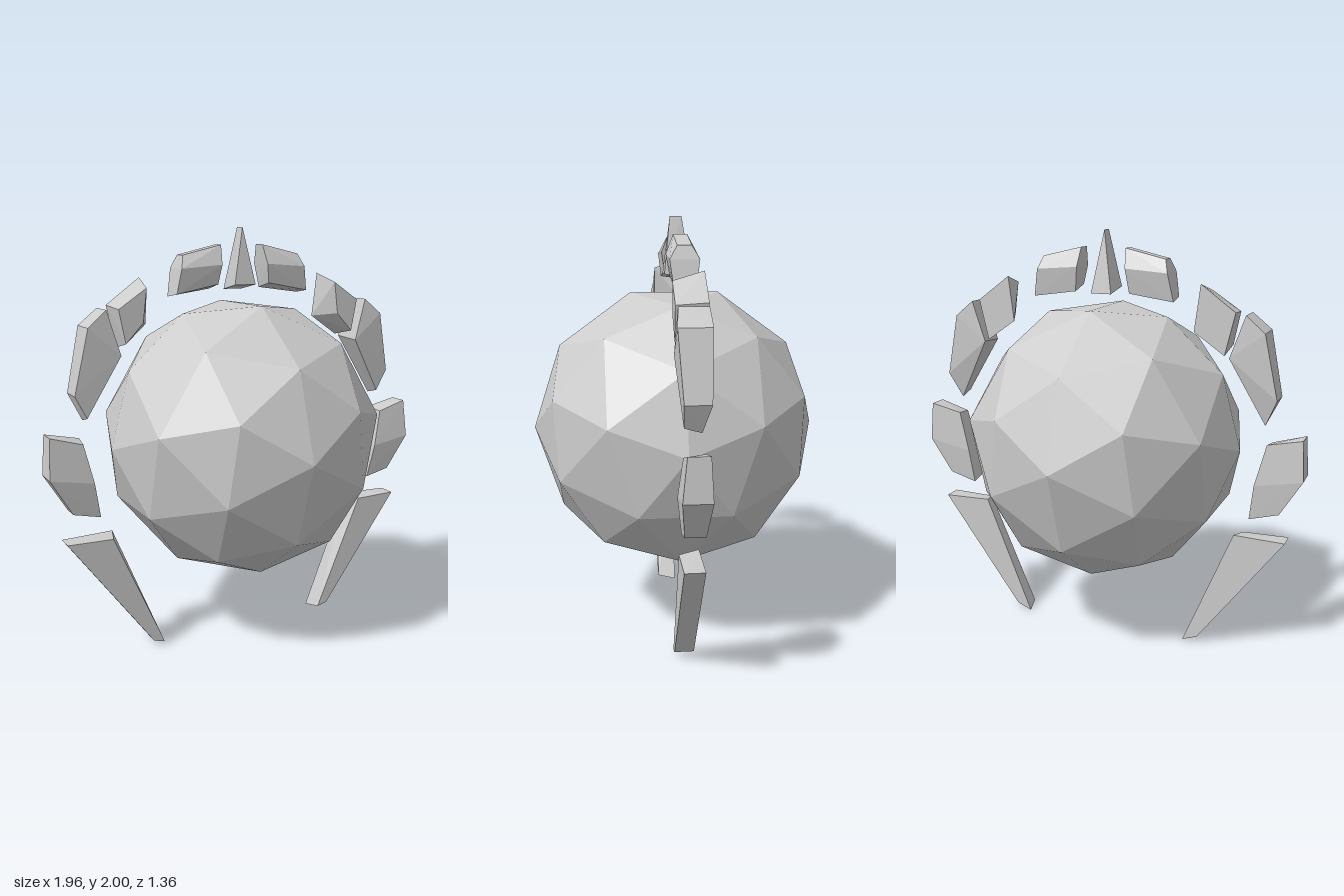
import * as THREE from 'three';
import { ConvexGeometry } from 'three/addons/geometries/ConvexGeometry.js';

const material = new THREE.MeshStandardMaterial({ color: 0xcccccc, flatShading: true });

// Faceted ball: half an icosphere with its pole on the x axis, mirrored across x = 0
function ballGeometry(r) {
  const at = (x, rad, deg) => {
    const a = THREE.MathUtils.degToRad(deg);
    return [x * r, rad * r * Math.sin(a), rad * r * Math.cos(a)];
  };
  const pole = [0.985 * r, 0, 0];
  const A = k => at(0.845, 0.526, 18 + 72 * k);
  const B = k => (k % 2 === 0 ? at(0.447, 0.894, 18 + 36 * k) : at(0.515, 0.857, 18 + 36 * k));
  const C = k => at(0, 1, 36 * k);
  const positions = [];
  const tri = (a, b, c) => {
    positions.push(...a, ...c, ...b);
    const m = p => [-p[0], p[1], p[2]];
    positions.push(...m(a), ...m(b), ...m(c));
  };
  for (let k = 0; k < 5; k++) {
    tri(pole, A(k), A(k + 1));
    tri(A(k), B(2 * k), B(2 * k + 1));
    tri(A(k), B(2 * k + 9), B(2 * k));
    tri(A(k), B(2 * k + 1), A(k + 1));
  }
  for (let k = 0; k < 10; k++) {
    tri(B(k), C(k), C(k + 1));
    tri(B(k), C(k + 1), B(k + 1));
  }
  const g = new THREE.BufferGeometry();
  g.setAttribute('position', new THREE.Float32BufferAttribute(positions, 3));
  g.computeVertexNormals();
  return g;
}

// Convex stone from rows [x, y, z, z2]; the second depth is optional
function stone(name, rows, side) {
  const points = rows.flatMap(([x, y, ...zs]) => zs.map(z => new THREE.Vector3(side * x, y, z)));
  const mesh = new THREE.Mesh(new ConvexGeometry(points), material);
  mesh.name = name;
  return mesh;
}

// Outlines of the stones on the left (+x) side
const stones = {
  UpperStone: [
    [0.11, 1.92, 0.015, -0.05], [0.305, 1.875, 0.015, -0.05],
    [0.12, 1.83, 0.05, -0.085], [0.325, 1.815, 0.05, -0.085],
    [0.135, 1.74, 0.035], [0.345, 1.7, 0.035],
    [0.135, 1.715, -0.065], [0.35, 1.685, -0.065],
  ],
  ShoulderStone: [
    [0.5, 1.735, 0.055], [0.635, 1.645, 0.055], [0.605, 1.49, 0.055], [0.52, 1.58, 0.055],
    [0.482, 1.775, -0.085], [0.645, 1.655, -0.085], [0.6, 1.46, -0.085], [0.455, 1.56, -0.085],
  ],
  SideStone: [
    [0.69, 1.645, 0.05, -0.08], [0.78, 1.57, 0.06, -0.085], [0.845, 1.27, 0.04, -0.075],
    [0.79, 1.165, 0.035], [0.79, 1.145, -0.04],
    [0.63, 1.44, 0.06], [0.622, 1.45, -0.085],
  ],
  LowerStone: [
    [0.968, 1.095, 0.04, -0.055], [0.98, 0.905, 0.06, -0.065], [0.875, 0.73, 0.04, -0.05],
    [0.815, 1.05, 0.04], [0.775, 0.87, 0.06], [0.745, 0.7, 0.04],
    [0.805, 1.06, -0.055], [0.755, 0.86, -0.065], [0.735, 0.69, -0.05],
  ],
  LegSpike: [
    [0.91, 0.59, 0.045, -0.045], [0.5, 0.03, 0.045, -0.045],
    [0.69, 0.585, 0.045], [0.445, 0.015, 0.045],
    [0.665, 0.597, -0.045], [0.425, 0, -0.045],
  ],
};

export function createModel() {
  const model = new THREE.Group();
  model.name = 'ballWithStones';

  const ball = new THREE.Mesh(ballGeometry(0.68), material);
  ball.name = 'ball';
  ball.position.y = 1;
  model.add(ball);

  // Mirrored ring of stones
  for (const [name, rows] of Object.entries(stones)) {
    model.add(stone('left' + name, rows, 1), stone('right' + name, rows, -1));
  }

  // Spike on top, ending in a short ridge
  model.add(stone('topSpike', [
    [0, 2, 0.02, -0.035],
    [-0.055, 1.735, 0.05], [0.055, 1.735, 0.05],
    [-0.05, 1.71, -0.08], [0.05, 1.71, -0.08],
  ], 1));

  return model;
}
